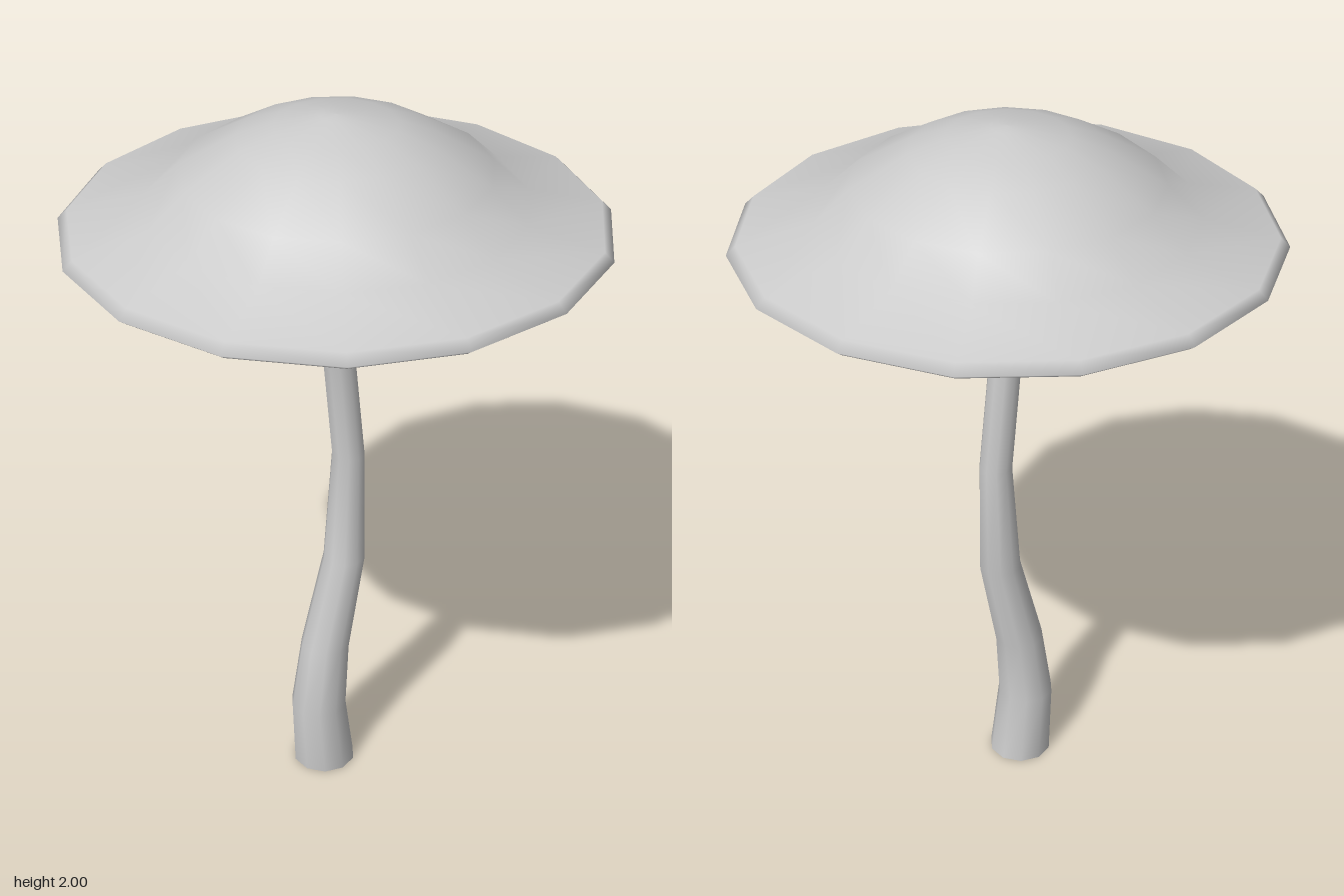
import * as THREE from 'three';
import { mergeVertices, toCreasedNormals } from 'three/addons/utils/BufferGeometryUtils.js';

const material = new THREE.MeshStandardMaterial({ color: 0xcccccc });

// Cap: fifteen-sided lathe, from the hollow underside round the rim to the crown
function createCap() {
  const profile = [
    [0, 1.75], [0.3, 1.745], [0.52, 1.725], [0.7, 1.672],
    [0.72, 1.687], [0.695, 1.712], [0.5, 1.76], [0.405, 1.85],
    [0.255, 1.937], [0.16, 1.973], [0.045, 1.998], [0, 2],
  ].map(([r, y]) => new THREE.Vector2(r, y));
  const cap = new THREE.Mesh(new THREE.LatheGeometry(profile, 15, Math.PI), material);
  cap.name = 'cap';
  return cap;
}

// Stem: a cylinder whose rings are moved along a wavy, tapering line
function createStem() {
  // height, centre x, radius
  const rings = [
    [0, -0.055, 0.088], [0.2, -0.074, 0.079], [0.4, -0.05, 0.069], [0.67, 0.017, 0.059],
    [1, 0.031, 0.046], [1.3, 0, 0.045], [1.55, -0.026, 0.05], [1.76, -0.006, 0.054],
  ];
  const last = rings.length - 1;
  let geometry = new THREE.CylinderGeometry(1, 1, last, 10, last);
  const p = geometry.attributes.position;
  for (let i = 0; i < p.count; i++) {
    const [y, x, r] = rings[Math.round(p.getY(i) + last / 2)];
    p.setXYZ(i, x + p.getX(i) * r, y, 0.014 + p.getZ(i) * r);
  }
  geometry.deleteAttribute('uv');
  geometry.deleteAttribute('normal');
  geometry = toCreasedNormals(mergeVertices(geometry), Math.PI / 3);
  const stem = new THREE.Mesh(geometry, material);
  stem.name = 'stem';
  return stem;
}

export function createModel() {
  const mushroom = new THREE.Group();
  mushroom.name = 'mushroom';
  mushroom.add(createStem(), createCap());
  return mushroom;
}
